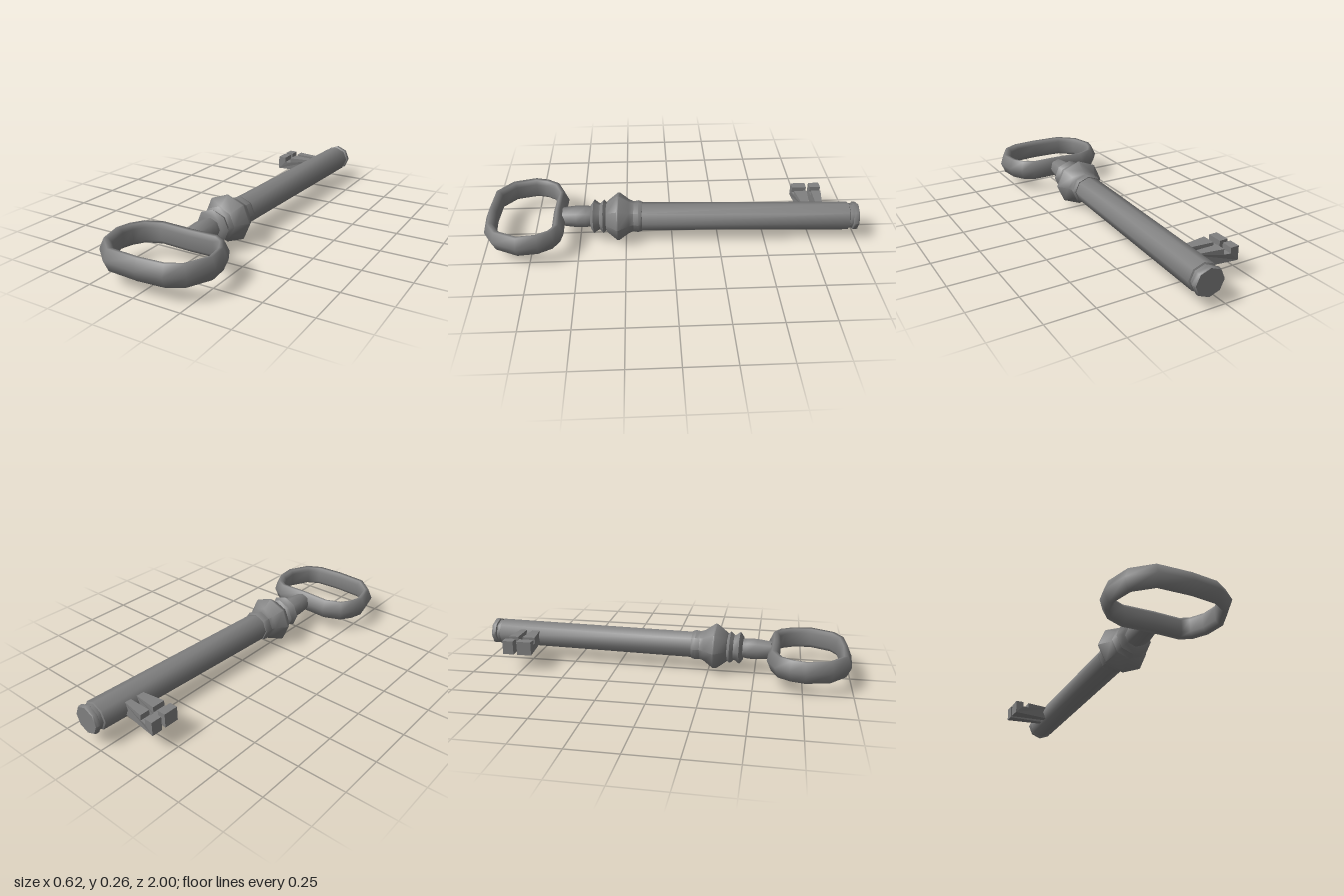
import * as THREE from 'three';
import { toCreasedNormals } from 'three/addons/utils/BufferGeometryUtils.js';

const MID = 0.128; // height of the key's axis

function makeMesh(name, geometry, material) {
  const mesh = new THREE.Mesh(geometry, material);
  mesh.name = name;
  return mesh;
}

// Eight-sided turned part lying along z; profile is [radius, z] pairs
function turned(profile) {
  const points = profile.map(([r, z]) => new THREE.Vector2(r, z));
  const g = new THREE.LatheGeometry(points, 8);
  g.rotateX(Math.PI / 2);
  g.scale(1.06, 1, 1);
  return toCreasedNormals(g, 0.9);
}

// Smooth closed loop sweeping a section [outward, up] around a path of [x, z]
function loopHandle(path, section) {
  const n = path.length, m = section.length;
  const position = [], index = [];
  path.forEach(([x, z], i) => {
    const [px, pz] = path[(i + n - 1) % n];
    const [nx, nz] = path[(i + 1) % n];
    const out = new THREE.Vector2(nz - pz, px - nx).normalize();
    for (const [o, y] of section) position.push(x + out.x * o, y, z + out.y * o);
    for (let j = 0; j < m; j++) {
      const a = i * m + j, b = i * m + (j + 1) % m;
      const c = ((i + 1) % n) * m + j, d = ((i + 1) % n) * m + (j + 1) % m;
      index.push(a, b, c, b, d, c);
    }
  });
  const g = new THREE.BufferGeometry();
  g.setAttribute('position', new THREE.Float32BufferAttribute(position, 3));
  g.setIndex(index);
  g.computeVertexNormals();
  return g;
}

// Tooth with a groove on top, widening from z range root to z range end
function tooth(root, end) {
  const xRoot = 0.05, xEnd = -0.19, h = 0.037, cut = 0.008;
  const outline = [
    [xEnd, -h], [xRoot, -h], [xRoot, h], [-0.11, h],
    [-0.11, cut], [-0.145, cut], [-0.145, h], [xEnd, h],
  ];
  const shape = new THREE.Shape(outline.map(([x, y]) => new THREE.Vector2(x, y)));
  const g = new THREE.ExtrudeGeometry(shape, { depth: 1, bevelEnabled: false });
  const p = g.attributes.position;
  for (let i = 0; i < p.count; i++) {
    const t = Math.min(1, (xRoot - p.getX(i)) / (xRoot + 0.145));
    const z0 = THREE.MathUtils.lerp(root[0], end[0], t);
    const z1 = THREE.MathUtils.lerp(root[1], end[1], t);
    p.setZ(i, THREE.MathUtils.lerp(z0, z1, p.getZ(i)));
  }
  g.computeVertexNormals();
  return g;
}

export function createModel() {
  const model = new THREE.Group();
  model.name = 'key';
  const material = new THREE.MeshStandardMaterial({ color: 0x808080 });

  // Turned parts share one slightly slanted axis
  const stem = new THREE.Group();
  stem.name = 'stem';
  stem.position.set(0.046, MID, 0);
  stem.rotation.y = -0.042;
  model.add(stem);

  // Shaft with grooved tip
  stem.add(makeMesh('shaft', turned([
    [0, -0.997], [0.07, -0.997], [0.074, -0.99], [0.074, -0.972], [0.066, -0.968],
    [0.066, -0.95], [0.074, -0.946], [0.074, 0.165], [0, 0.165],
  ]), material));

  // Collar with a wide central ridge and two small rings
  stem.add(makeMesh('collar', turned([
    [0, 0.16], [0.078, 0.16], [0.085, 0.18], [0.08, 0.205], [0.09, 0.23],
    [0.128, 0.283], [0.128, 0.291], [0.085, 0.345], [0.075, 0.352], [0.09, 0.367],
    [0.07, 0.386], [0.073, 0.395], [0.09, 0.418], [0.065, 0.435], [0, 0.435],
  ]), material));

  // Neck between the collar and the handle
  stem.add(makeMesh('neck', turned([
    [0, 0.42], [0.05, 0.42], [0.058, 0.46], [0.058, 0.51], [0.049, 0.585], [0, 0.585],
  ]), material));

  // Oval handle: ridged outside, flat inner wall
  const handle = makeMesh('handle', loopHandle([
    [-0.28, 0.757], [-0.262, 0.69], [-0.222, 0.63], [-0.135, 0.594], [0.03, 0.602],
    [0.175, 0.6], [0.228, 0.633], [0.266, 0.7], [0.277, 0.8], [0.22, 0.915],
    [0.145, 0.957], [0.01, 0.968], [-0.16, 0.958], [-0.25, 0.878],
  ], [
    [0.03, 0], [0.006, 0.055], [-0.014, 0.053], [-0.03, 0.032],
    [-0.03, -0.032], [-0.014, -0.053], [0.006, -0.055],
  ]), material);
  handle.position.y = MID;
  model.add(handle);

  // Bit: two grooved teeth on the right of the shaft
  const teeth = [
    ['rearTooth', [-0.815, -0.785], [-0.847, -0.788]],
    ['frontTooth', [-0.747, -0.715], [-0.767, -0.688]],
  ];
  for (const [name, root, end] of teeth) {
    const mesh = makeMesh(name, tooth(root, end), material);
    mesh.position.y = MID;
    model.add(mesh);
  }
  return model;
}
